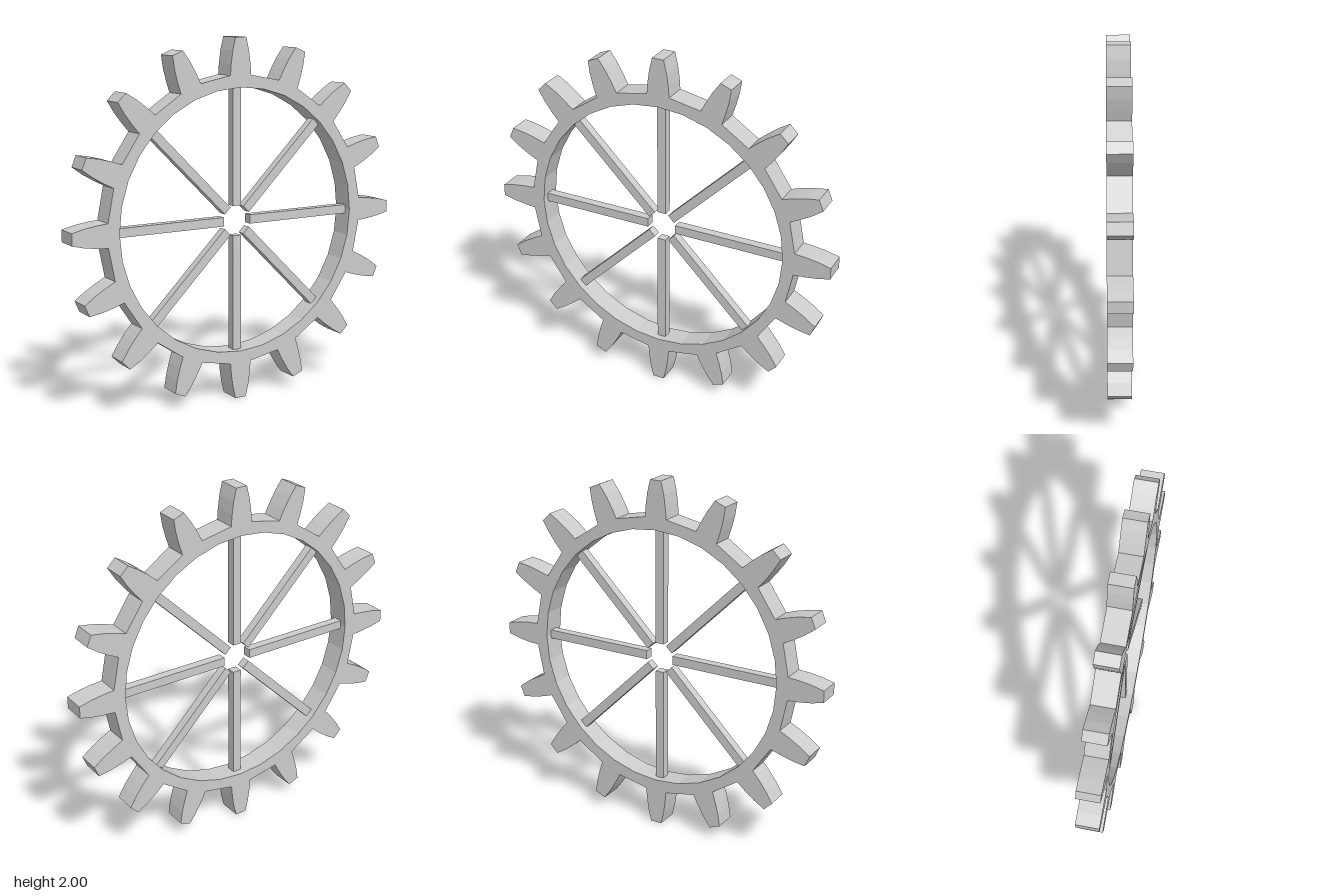
import * as THREE from 'three';

const TEETH = 16, SPOKES = 8, DEPTH = 0.13;

export function createModel() {
  const model = new THREE.Group();
  model.name = 'gearWheel';
  const material = new THREE.MeshStandardMaterial({ color: 0xcccccc, flatShading: true });

  // Half tooth profile: [radial distance, half width], from root to tip
  const flank = [[0.797, 0.065], [0.86, 0.06], [0.93, 0.05], [1, 0.033]];
  const tooth = [
    ...flank.map(([r, w]) => new THREE.Vector2(r, -w)),
    ...flank.slice().reverse().map(([r, w]) => new THREE.Vector2(r, w)),
  ];

  // Toothed rim with a round opening
  const outline = [];
  for (let i = 0; i < TEETH; i++) {
    const angle = (i / TEETH) * Math.PI * 2;
    for (const p of tooth) outline.push(p.clone().rotateAround(new THREE.Vector2(), angle));
  }
  const shape = new THREE.Shape(outline);
  const opening = [];
  for (let i = 0; i < 32; i++) {
    const a = (-i / 32) * Math.PI * 2;
    opening.push(new THREE.Vector2(0.732 * Math.cos(a), 0.732 * Math.sin(a)));
  }
  shape.holes.push(new THREE.Path(opening));
  const rimGeometry = new THREE.ExtrudeGeometry(shape, { depth: DEPTH, bevelEnabled: false });
  rimGeometry.translate(0, 0, -DEPTH / 2);
  const rim = new THREE.Mesh(rimGeometry, material);
  rim.name = 'toothedRim';
  model.add(rim);

  // Square spokes stopping short of the centre
  const inner = 0.083, outer = 0.738;
  const spokeGeometry = new THREE.BoxGeometry(outer - inner, 0.05, 0.05);
  spokeGeometry.translate((inner + outer) / 2, 0, 0);
  for (let i = 0; i < SPOKES; i++) {
    const spoke = new THREE.Mesh(spokeGeometry, material);
    spoke.name = `spoke${i + 1}`;
    spoke.rotation.z = (i / SPOKES) * Math.PI * 2;
    model.add(spoke);
  }

  model.position.y = 1;
  return model;
}
